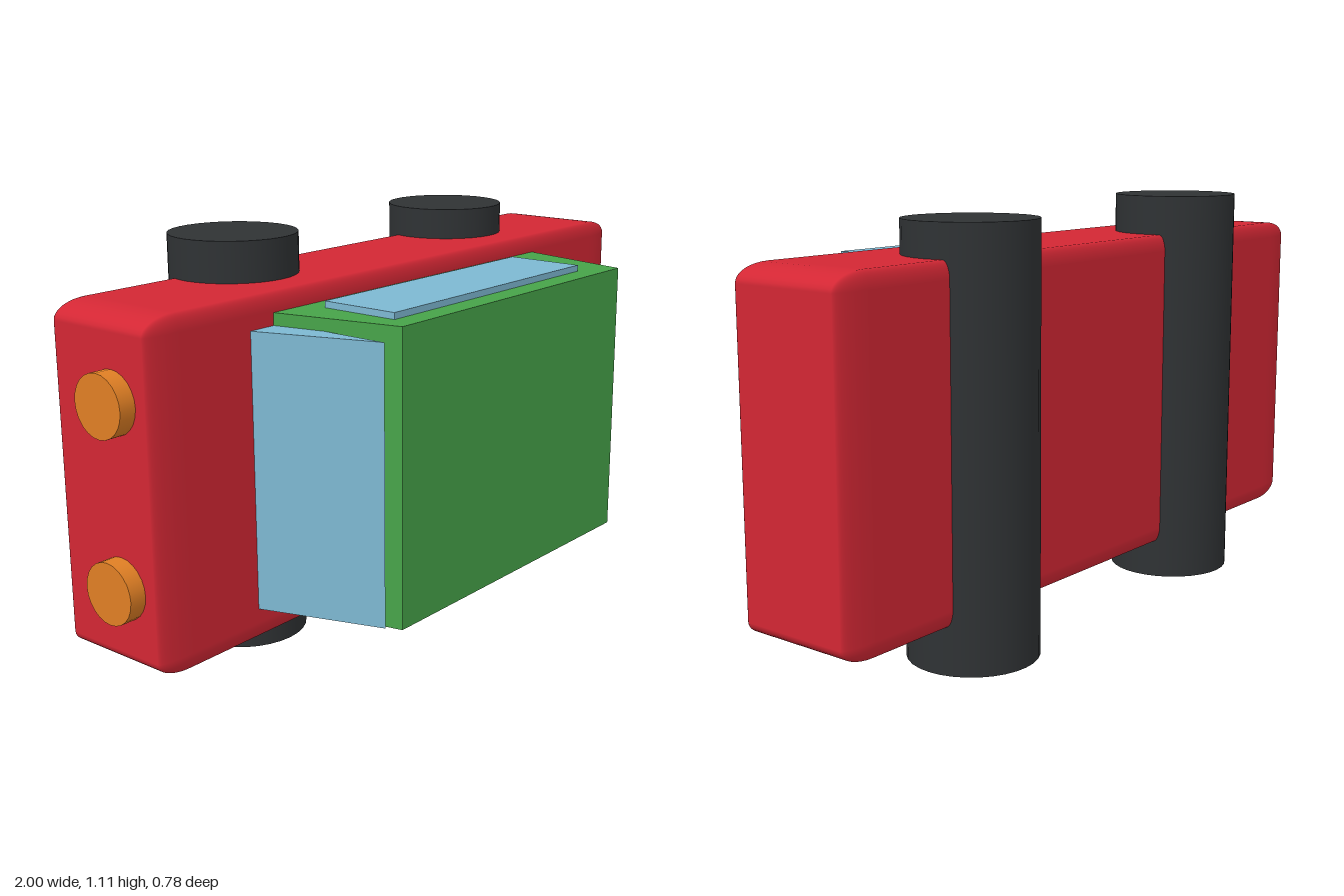
import * as THREE from 'three';
import { RoundedBoxGeometry } from 'three/addons/geometries/RoundedBoxGeometry.js';

const mat = (color, flatShading = false) => new THREE.MeshStandardMaterial({ color, flatShading });

const red = mat(0xd32734);
const green = mat(0x47a349, true);
const glass = mat(0x7db8d2, true);
const rubber = mat(0x2f3234);
const orange = mat(0xe07f24);

// Prism with an (x, z) outline, spanning y0..y1
function prism(points, y0, y1) {
  const shape = new THREE.Shape(points.map(([x, z]) => new THREE.Vector2(x, z)));
  const geo = new THREE.ExtrudeGeometry(shape, { depth: y1 - y0, bevelEnabled: false });
  return geo.rotateX(Math.PI / 2).translate(0, y1, 0);
}

export function createModel() {
  const car = new THREE.Group();
  car.name = 'toyCarOnItsSide';

  const add = (name, geometry, material, x = 0, y = 0, z = 0) => {
    const mesh = new THREE.Mesh(geometry, material);
    mesh.name = name;
    mesh.position.set(x, y, z);
    car.add(mesh);
    return mesh;
  };

  // Body: a rounded cube stretched along the car, so its corners stretch too
  const body = new RoundedBoxGeometry(1, 1, 1, 5, 0.05).scale(1.955, 0.88, 0.336);
  add('body', body, red, 0.0225, 0.564, -0.121);

  // Cabin, tapering towards the roof
  add('cabin', prism([[-0.55, 0.045], [0.572, 0.045], [0.498, 0.388], [-0.476, 0.388]], 0.19, 0.954), green);

  // Windscreen wedge
  add('windscreen', prism([[-0.63, 0.045], [-0.52, 0.045], [-0.52, 0.37]], 0.205, 0.922), glass);

  // Side windows, standing slightly proud of the cabin
  for (const [name, y] of [['lowerSideWindow', 0.187], ['upperSideWindow', 0.957]]) {
    add(name, new THREE.BoxGeometry(0.812, 0.028, 0.22), glass, -0.022, y, 0.215);
  }

  // Wheel rollers running across the full width
  for (const [name, x, y] of [['frontWheels', -0.414, 0.565], ['rearWheels', 0.488, 0.545]]) {
    add(name, new THREE.CylinderGeometry(0.169, 0.169, 1.09, 32), rubber, x, y, -0.221);
  }

  // Headlights
  for (const [name, y] of [['lowerHeadlight', 0.335], ['upperHeadlight', 0.794]]) {
    const geo = new THREE.CylinderGeometry(0.079, 0.079, 0.08, 24).rotateZ(Math.PI / 2);
    add(name, geo, orange, -0.96, y, -0.079);
  }

  return car;
}
